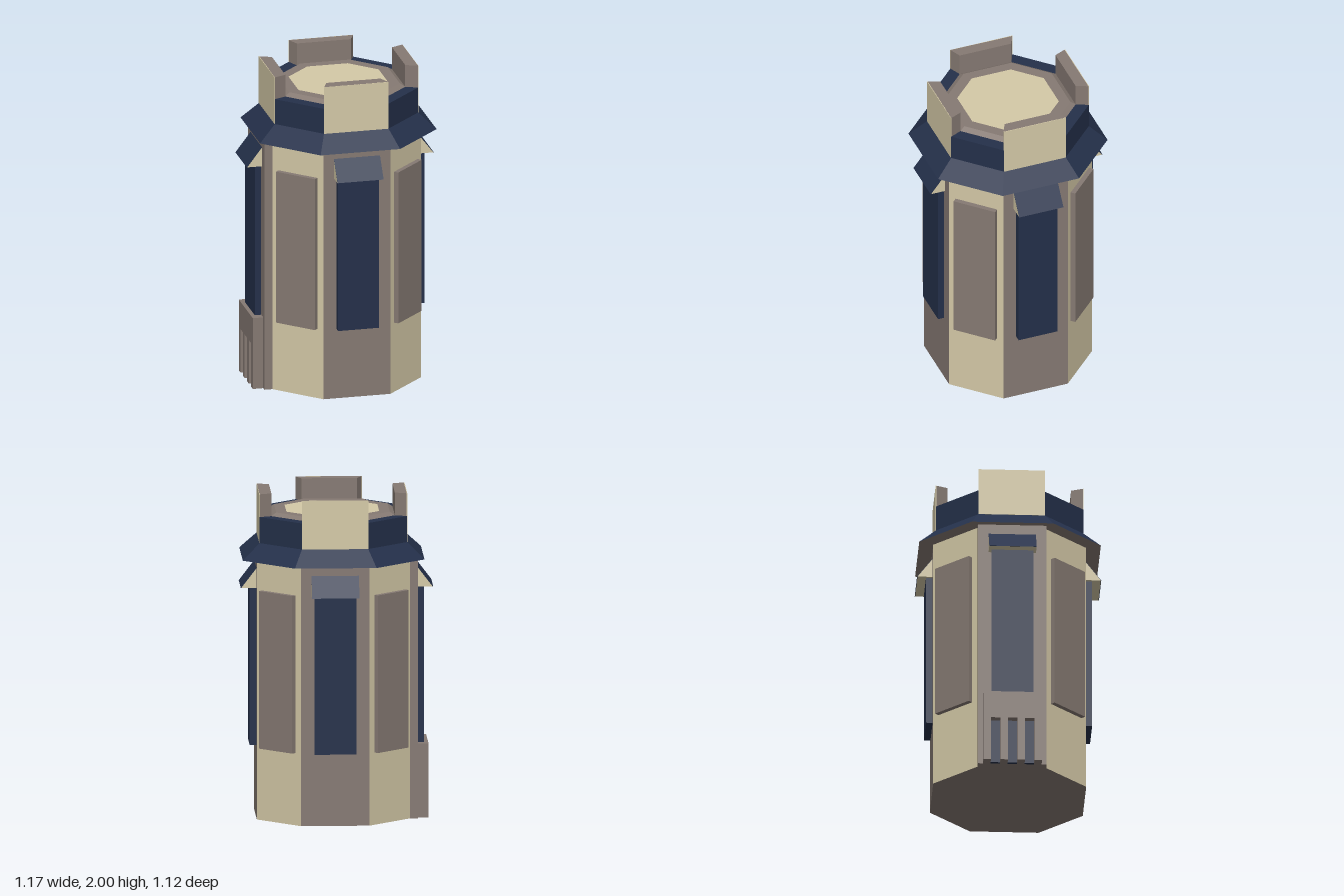
import * as THREE from 'three';

const K = 0.45; // half side length of the octagon relative to its apothem
const CARDINAL = [0, 2, 4, 6], DIAGONAL = [1, 3, 5, 7], ALL = [0, 1, 2, 3, 4, 5, 6, 7];

const mat = (name, color) => {
  const m = new THREE.MeshStandardMaterial({ color });
  m.name = name;
  return m;
};

// Corners of an octagon with flat faces on the axes; side i runs from corner i to i + 1
function corner(i, a) {
  const ring = [[-K, 1], [K, 1], [1, K], [1, -K], [K, -1], [-K, -1], [-1, -K], [-1, K]];
  const [x, z] = ring[i % 8];
  return [x * a, z * a];
}

// Quads joining octagon (a0, y0) to octagon (a1, y1) on the chosen sides
function band(sides, a0, y0, a1, y1) {
  const pos = [];
  for (const i of sides) {
    const at = (n, a, y) => { const [x, z] = corner(n, a); return [x, y, z]; };
    const b0 = at(i, a0, y0), b1 = at(i + 1, a0, y0), t1 = at(i + 1, a1, y1), t0 = at(i, a1, y1);
    pos.push(...b0, ...b1, ...t1, ...b0, ...t1, ...t0);
  }
  const g = new THREE.BufferGeometry();
  g.setAttribute('position', new THREE.Float32BufferAttribute(pos, 3));
  g.computeVertexNormals();
  return g;
}

function extrude(points, depth) {
  const shape = new THREE.Shape(points.map(([x, y]) => new THREE.Vector2(x, y)));
  return new THREE.ExtrudeGeometry(shape, { depth, bevelEnabled: false });
}

// Profile in (outward, y), swept across a face that looks along +z
function sweepAcross(points, width) {
  return extrude(points, width).translate(0, 0, -width / 2).rotateY(-Math.PI / 2);
}

export function createModel() {
  const cream = mat('cream stone', 0xd4c9a7);
  const brown = mat('brown stone', 0x867a73);
  const blue = mat('dark blue', 0x24304a);

  const model = new THREE.Group();
  model.name = 'tower';
  const tower = new THREE.Group();
  tower.name = 'towerBody';
  tower.position.x = 0.025;
  model.add(tower);

  const add = (parent, name, geometry, material) => {
    const m = new THREE.Mesh(geometry, material);
    m.name = name;
    parent.add(m);
    return m;
  };
  const box = (w, h, d, x, y, z) => new THREE.BoxGeometry(w, h, d).translate(x, y, z);

  // Shaft
  const A = 0.465;
  add(tower, 'shaftCardinalWalls', band(CARDINAL, A, 0, A, 1.6), brown);
  add(tower, 'shaftDiagonalWalls', band(DIAGONAL, A, 0, A, 1.6), cream);
  add(tower, 'shaftBase', band(ALL, 0, 0, A, 0), brown);

  // Flared eave
  add(tower, 'eaveUnderside', band(ALL, 0.4, 1.6, 0.552, 1.6), brown);
  add(tower, 'eave', band(ALL, 0.552, 1.6, 0.448, 1.7), blue);

  // Parapet and roof floor
  const P = 0.448, Q = 0.375;
  add(tower, 'parapetWall', band(ALL, P, 1.7, P, 1.86), blue);
  add(tower, 'parapetTop', band(DIAGONAL, P, 1.86, Q, 1.86), blue);
  add(tower, 'roofCurb', band(ALL, Q, 1.86, 0.345, 1.88), brown);
  add(tower, 'roofRim', band(ALL, 0.345, 1.88, 0.282, 1.88), brown);
  add(tower, 'roofFloor', band(ALL, 0.282, 1.88, 0, 1.88), cream);

  for (const i of ALL) {
    const side = new THREE.Group();
    side.name = 'side' + i;
    side.rotation.y = i * Math.PI / 4;
    tower.add(side);

    if (i % 2) {
      // Raised panel on each diagonal wall
      const d = A * (1 + K) / Math.SQRT2;
      add(side, 'diagonalPanel', box(0.275, 0.97, 0.03, 0, 0.93, d + 0.015), brown);
      continue;
    }

    // Merlon with a cream outer face
    const merlon = extrude([[-K * P, -P], [K * P, -P], [K * Q, -Q], [-K * Q, -Q]], 0.14)
      .rotateX(-Math.PI / 2).translate(0, 1.86, 0);
    add(side, 'merlon', merlon, brown);
    add(side, 'merlonFace', box(2 * K * P, 0.3, 0.004, 0, 1.85, P), cream);

    // The doorway side carries an extra slab
    const door = i === 6;
    const d = door ? A + 0.05 : A;
    if (door) add(side, 'doorwaySlab', box(2 * K * A, 1.6, 0.05, 0, 0.8, A + 0.025), brown);

    // Tall panel under a sloping awning
    add(side, 'tallPanel', box(0.254, 0.975, 0.04, 0, 0.9325, d + 0.02), blue);
    const out = 0.092, lo = 1.415, hi = 1.535;
    const awning = sweepAcross([[0, lo], [out, lo], [0, hi]], 0.288);
    add(side, 'awningBody', awning.translate(0, 0, d), cream);
    const slope = sweepAcross([[0, hi], [out, lo], [out + 0.003, lo], [0, hi + 0.004]], 0.288);
    add(side, 'awningSlope', slope.translate(0, 0, d), blue);

    if (door) {
      // Comb-shaped door frame with three dark slots
      const half = 0.178, slot = 0.058, post = (2 * half - 3 * slot) / 4, top = 0.28;
      const outline = [[-half, 0.455], [-half, 0]];
      for (let s = 0; s < 3; s++) {
        const x = -half + post + s * (slot + post);
        outline.push([x, 0], [x, top], [x + slot, top], [x + slot, 0]);
      }
      outline.push([half, 0], [half, 0.455]);
      add(side, 'doorFrame', extrude(outline, 0.065).translate(0, 0, d), brown);
      for (let s = -1; s <= 1; s++) {
        add(side, 'doorSlot', box(slot, top, 0.02, s * (slot + post), top / 2, d + 0.01), blue);
      }
    }
  }
  return model;
}
